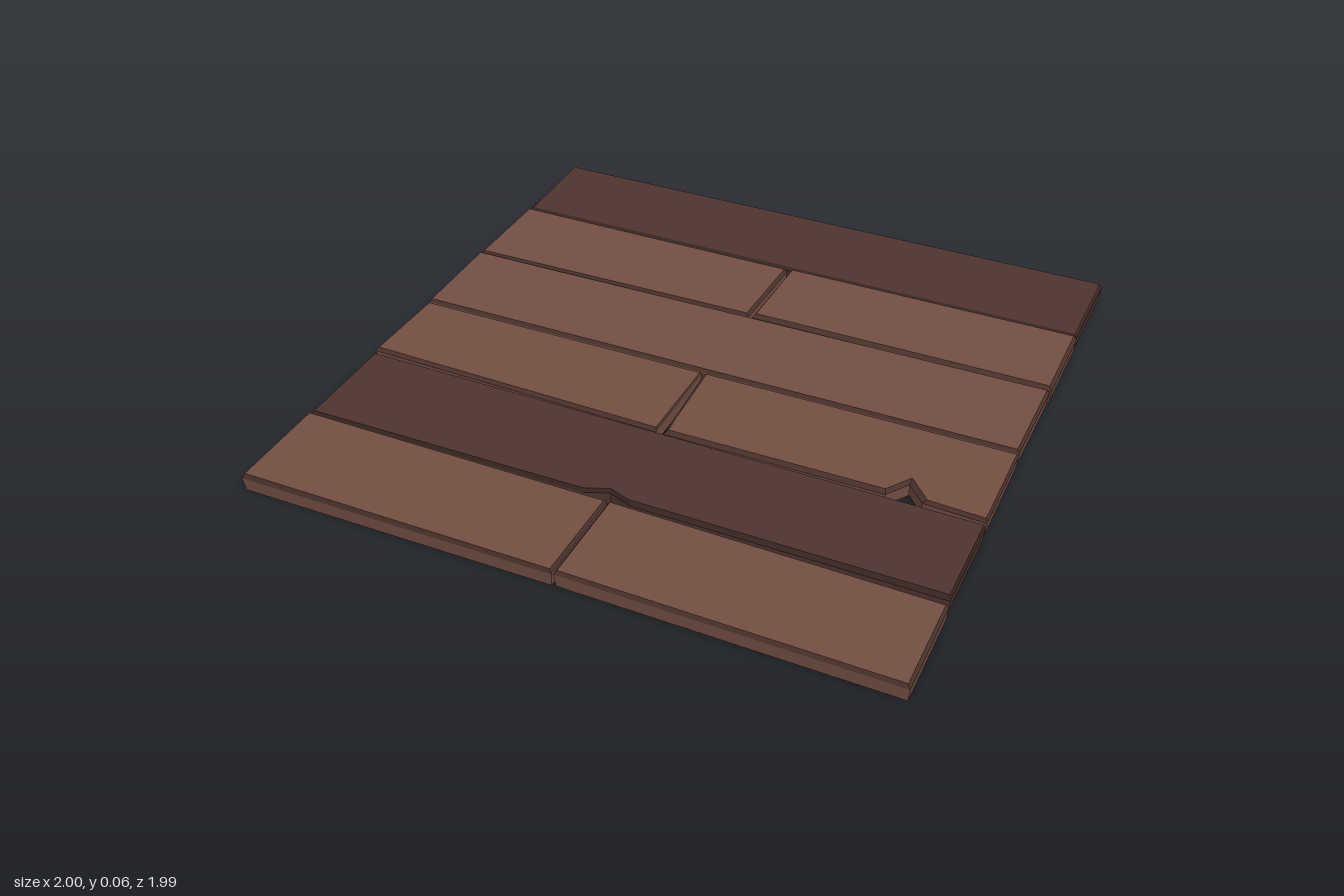
import * as THREE from 'three';

const lightWood = new THREE.MeshStandardMaterial({ name: 'lightWood', color: 0x724e42 });
const darkWood = new THREE.MeshStandardMaterial({ name: 'darkWood', color: 0x4e342e });
const lightEdge = new THREE.MeshStandardMaterial({ name: 'lightWornEdge', color: 0x49312a });
const darkEdge = new THREE.MeshStandardMaterial({ name: 'darkWornEdge', color: 0x35231f });

const SHOULDER = 0.044; // height where the bevel begins

// Outline moved inwards, each edge by its own width
function inset(points, widths) {
  const n = points.length;
  const normal = (i) => {
    const a = points[i], b = points[(i + 1) % n];
    return new THREE.Vector2(a.y - b.y, b.x - a.x).normalize();
  };
  return points.map((p, i) => {
    const j = (i + n - 1) % n, n1 = normal(j), n2 = normal(i);
    const w1 = widths[j], w2 = widths[i], det = n1.x * n2.y - n1.y * n2.x;
    if (Math.abs(det) < 0.08) return p.clone().addScaledVector(n2, (w1 + w2) / 2);
    return new THREE.Vector2(
      p.x + (w1 * n2.y - w2 * n1.y) / det,
      p.y + (n1.x * w2 - n2.x * w1) / det);
  });
}

// Plank from three loops: foot, shoulder and bevelled top.
// Outline corners are [x, z, bevel width of the edge that starts there].
function plank({ name, outline, back, front, tilt = 0, dark = false }) {
  const pts = outline.map(([x, z]) => new THREE.Vector2(x, z));
  const n = pts.length;
  const zs = pts.map((p) => p.y);
  const z0 = Math.min(...zs), z1 = Math.max(...zs);
  const topY = (p) => back + (front - back) * (p.y - z0) / (z1 - z0) + tilt * p.x;
  const lift = (loop, y) => loop.map((p) => [p.x, y(p), p.y]);
  const foot = lift(inset(pts, pts.map(() => 0.004)), () => 0);
  const shoulder = lift(pts, () => SHOULDER);
  const topLoop = inset(pts, outline.map((p) => p[2]));
  const top = lift(topLoop, topY);

  const pos = [];
  const tri = (a, b, c) => pos.push(...a, ...b, ...c);
  const band = (lo, hi) => {
    for (let i = 0; i < n; i++) {
      const j = (i + 1) % n;
      tri(lo[j], lo[i], hi[i]);
      tri(lo[j], hi[i], hi[j]);
    }
  };
  // caps and sides in the wood colour, bevel in the worn colour
  for (const [a, b, c] of THREE.ShapeUtils.triangulateShape(topLoop, [])) tri(top[c], top[b], top[a]);
  for (const [a, b, c] of THREE.ShapeUtils.triangulateShape(pts, [])) tri(foot[a], foot[b], foot[c]);
  band(foot, shoulder);
  const split = pos.length / 3;
  band(shoulder, top);

  const geo = new THREE.BufferGeometry();
  geo.setAttribute('position', new THREE.Float32BufferAttribute(pos, 3));
  geo.addGroup(0, split, 0);
  geo.addGroup(split, pos.length / 3 - split, 1);
  geo.computeVertexNormals();
  const mesh = new THREE.Mesh(geo, dark ? [darkWood, darkEdge] : [lightWood, lightEdge]);
  mesh.name = name;
  return mesh;
}

// Corners run back left, back right, front right, front left as seen from above
const planks = [
  { name: 'backPlank', dark: true, back: 0.058, front: 0.051,
    outline: [[-0.99, -1, 0.004], [1, -1, 0.012], [0.995, -0.668, 0.014], [-0.99, -0.668, 0.008]] },
  { name: 'secondRowLeftPlank', back: 0.056, front: 0.055,
    outline: [[-0.992, -0.664, 0.006], [0.007, -0.66, 0.008], [-0.005, -0.352, 0.006], [-0.995, -0.34, 0.007]] },
  { name: 'secondRowRightPlank', back: 0.057, front: 0.055,
    outline: [[0.018, -0.664, 0.004], [0.997, -0.664, 0.01], [0.996, -0.354, 0.013], [0.008, -0.354, 0.008]] },
  { name: 'thirdRowPlank', back: 0.056, front: 0.055,
    outline: [[-0.998, -0.333, 0.005], [0.992, -0.346, 0.008], [0.988, -0.018, 0.006], [-0.995, -0.006, 0.006]] },
  { name: 'fourthRowLeftPlank', back: 0.052, front: 0.055,
    outline: [[-0.995, 0.002, 0.007], [-0.012, -0.004, 0.004], [-0.014, 0.32, 0.009], [-1, 0.304, 0.008]] },
  { name: 'fourthRowNotchedPlank', back: 0.052, front: 0.056,
    outline: [[-0.004, -0.002, 0.004], [0.99, -0.008, 0.006], [0.99, 0.317, 0.007], [0.8, 0.308, 0.014],
      [0.743, 0.245, 0.01], [0.695, 0.314, 0.011], [0.01, 0.32, 0.012]] },
  { name: 'fifthRowNotchedPlank', dark: true, back: 0.054, front: 0.055,
    outline: [[-0.992, 0.322, 0.007], [0.992, 0.33, 0.006], [0.99, 0.652, 0.012], [0.07, 0.652, 0.007],
      [-0.01, 0.625, 0.007], [-0.08, 0.652, 0.006], [-0.99, 0.662, 0.008]] },
  { name: 'frontLeftPlank', back: 0.053, front: 0.059, tilt: -0.003,
    outline: [[-0.998, 0.666, 0.006], [-0.001, 0.664, 0.006], [0, 0.986, 0.004], [-0.992, 0.994, 0.01]] },
  { name: 'frontRightPlank', back: 0.054, front: 0.057,
    outline: [[0.004, 0.664, 0.006], [0.994, 0.674, 0.008], [0.994, 0.99, 0.006], [0.004, 0.984, 0.009]] },
];

export function createModel() {
  const group = new THREE.Group();
  group.name = 'plankFloor';
  for (const spec of planks) group.add(plank(spec));
  return group;
}
